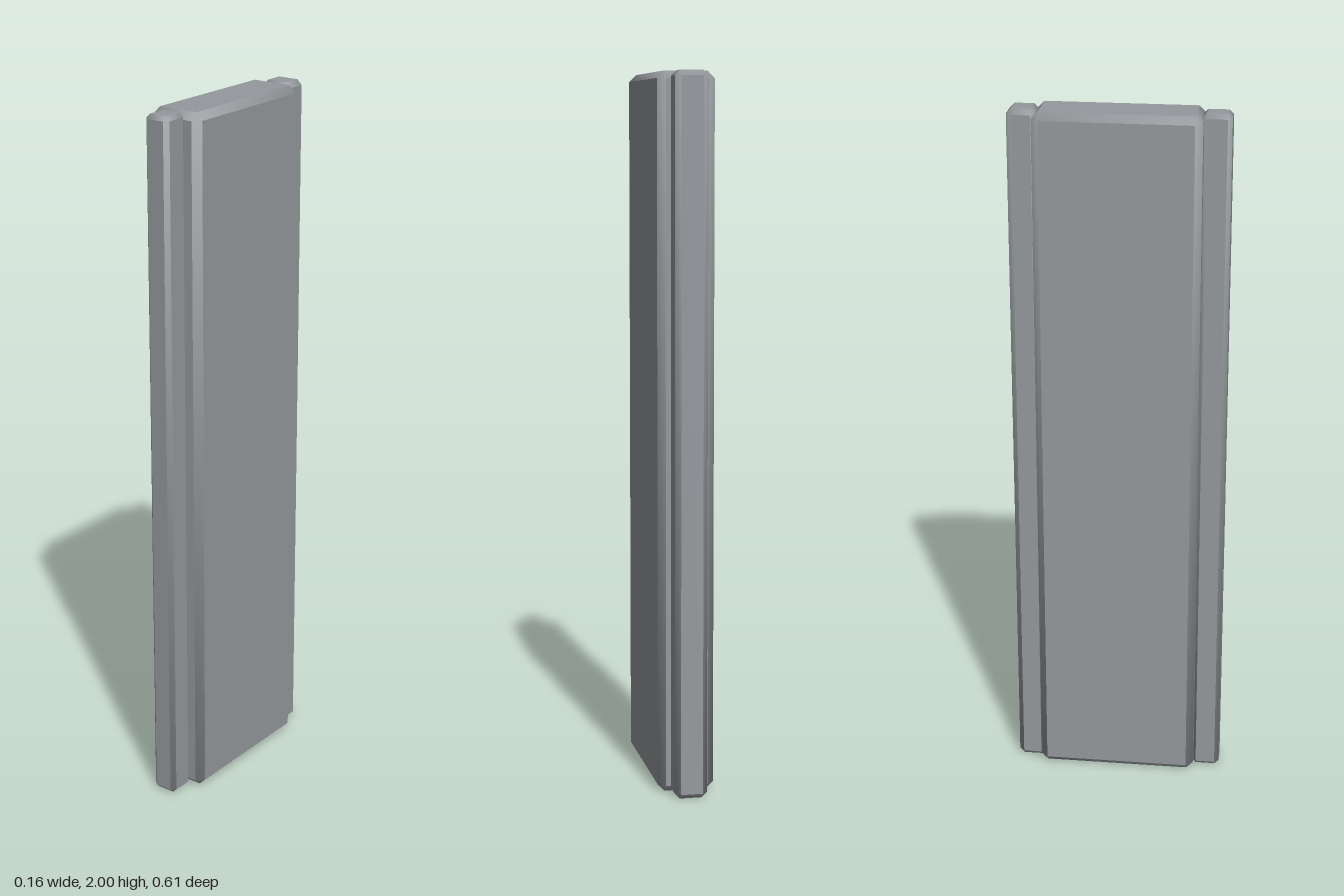
import * as THREE from 'three';
import { ConvexGeometry } from 'three/addons/geometries/ConvexGeometry.js';

const material = new THREE.MeshStandardMaterial({ color: 0x95999d });

// Box with every edge chamfered: flat main faces, chamfers shaded smoothly around the corners
function chamferedBox(name, [x0, x1], [y0, y1], [z0, z1], c) {
  const half = [(x1 - x0) / 2, (y1 - y0) / 2, (z1 - z0) / 2];
  const points = [];
  for (let axis = 0; axis < 3; axis++)
    for (const sx of [-1, 1]) for (const sy of [-1, 1]) for (const sz of [-1, 1]) {
      const p = [sx, sy, sz].map((s, i) => s * (half[i] - (i === axis ? 0 : c)));
      points.push(new THREE.Vector3(...p));
    }
  const geometry = new ConvexGeometry(points);
  const { position, normal } = geometry.attributes;
  const n = new THREE.Vector3();
  for (let i = 0; i < position.count; i++) {
    n.fromBufferAttribute(normal, i);
    if (Math.max(Math.abs(n.x), Math.abs(n.y), Math.abs(n.z)) > 0.99) continue;
    // Chamfer corner: lean mostly towards the main face it touches
    const p = [position.getX(i), position.getY(i), position.getZ(i)];
    n.set(...p.map((v, k) => Math.sign(v) * (Math.abs(v) > half[k] - c / 2 ? 1 : 0.61))).normalize();
    normal.setXYZ(i, n.x, n.y, n.z);
  }
  const mesh = new THREE.Mesh(geometry, material);
  mesh.name = name;
  mesh.position.set((x0 + x1) / 2, (y0 + y1) / 2, (z0 + z1) / 2);
  return mesh;
}

export function createModel() {
  const group = new THREE.Group();
  group.name = 'panel';
  group.add(
    // Broad central slab
    chamferedBox('slab', [-0.08, 0.079], [0, 2], [-0.232, 0.227], 0.02),
    // Narrow strips along both upright edges
    chamferedBox('frontStrip', [-0.039, 0.037], [0, 2], [0.222, 0.302], 0.012),
    chamferedBox('backStrip', [-0.046, 0.045], [0, 2], [-0.303, -0.221], 0.0145),
  );
  return group;
}
